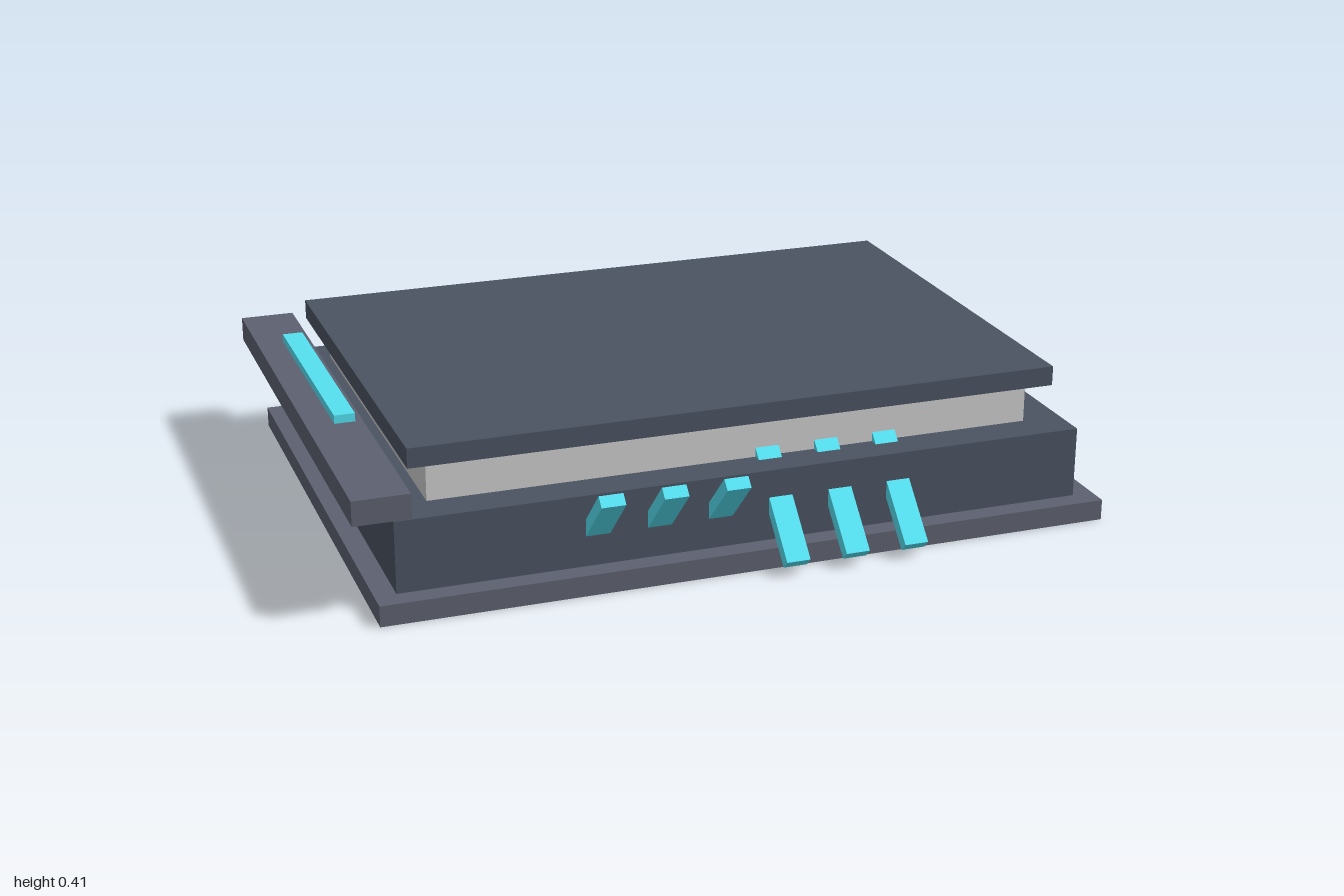
import * as THREE from 'three';

const dark = new THREE.MeshStandardMaterial({ color: 0x4b5361 });
const slate = new THREE.MeshStandardMaterial({ color: 0x5d6170 });
const grey = new THREE.MeshStandardMaterial({ color: 0xcccccc });
const cyan = new THREE.MeshStandardMaterial({ color: 0x55e0f0 });

// Box given by its lower and upper limits on each axis
function slab(name, [x0, x1], [y0, y1], [z0, z1], material) {
  const mesh = new THREE.Mesh(new THREE.BoxGeometry(x1 - x0, y1 - y0, z1 - z0), material);
  mesh.position.set((x0 + x1) / 2, (y0 + y1) / 2, (z0 + z1) / 2);
  mesh.name = name;
  return mesh;
}

export function createModel() {
  const model = new THREE.Group();
  model.name = 'layeredBlock';

  // Stacked layers, from the ground up
  model.add(
    slab('basePlate', [-0.943, 1], [0, 0.055], [-0.738, 0.668], slate),
    slab('body', [-0.888, 0.943], [0.055, 0.244], [-0.684, 0.613], dark),
    slab('innerCore', [-0.782, 0.836], [0.244, 0.353], [-0.586, 0.515], grey),
    slab('topPlate', [-0.837, 0.891], [0.353, 0.405], [-0.628, 0.559], dark),
  );

  // Ledge beside the stack, with a light strip floating above it
  model.add(
    slab('sideLedge', [-1, -0.855], [0.27, 0.335], [-0.738, 0.668], slate),
    slab('lightStrip', [-0.953, -0.9], [0.383, 0.405], [-0.36, 0.286], cyan),
  );

  // Slanted bars through the front edge: three rise outward, three fall outward
  const bars = new THREE.Group();
  bars.name = 'slantedBars';
  const barGeometry = new THREE.BoxGeometry(0.063, 0.032, 0.339);
  for (let i = 0; i < 6; i++) {
    const bar = new THREE.Mesh(barGeometry, cyan);
    bar.name = i < 3 ? 'risingBar' : 'fallingBar';
    bar.position.set(-0.376 + i * 0.1615, 0.153, 0.608);
    bar.rotation.x = (i < 3 ? -1 : 1) * Math.PI / 4;
    bars.add(bar);
  }
  model.add(bars);
  return model;
}
